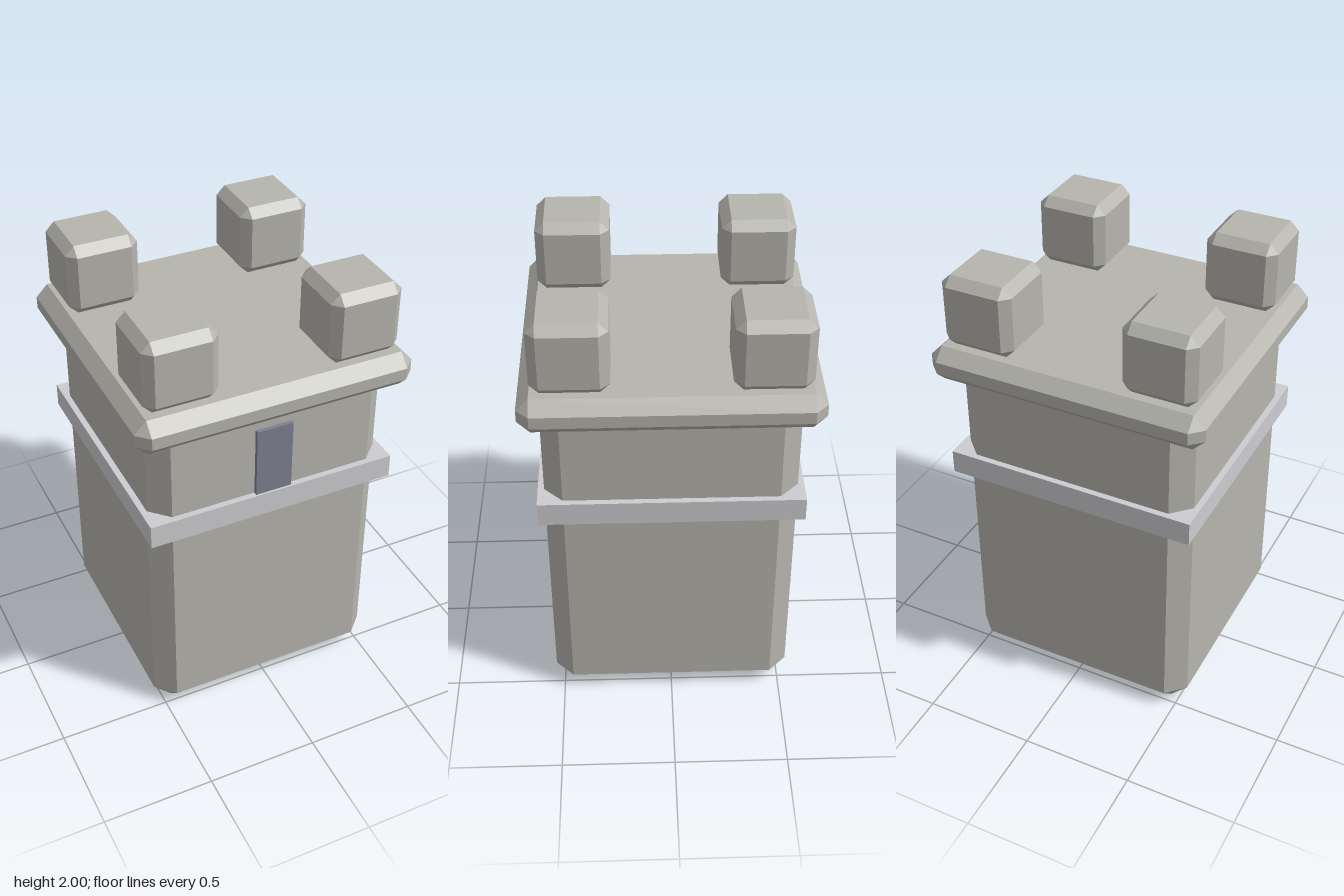
import * as THREE from 'three';
import { ConvexGeometry } from 'three/addons/geometries/ConvexGeometry.js';

// Box with flat chamfers on every edge and a triangle at each corner
function chamferBox(w, h, d, c) {
  const points = [];
  for (const sx of [-1, 1]) for (const sy of [-1, 1]) for (const sz of [-1, 1]) {
    const x = w / 2, y = h / 2, z = d / 2;
    points.push(
      new THREE.Vector3(sx * x, sy * (y - c), sz * (z - c)),
      new THREE.Vector3(sx * (x - c), sy * y, sz * (z - c)),
      new THREE.Vector3(sx * (x - c), sy * (y - c), sz * z)
    );
  }
  return new ConvexGeometry(points);
}

export function createModel() {
  const stone = new THREE.MeshStandardMaterial({ color: 0xb5b4ad });
  stone.name = 'stone';
  const paleStone = new THREE.MeshStandardMaterial({ color: 0xcdccd0 });
  paleStone.name = 'paleStone';
  const slate = new THREE.MeshStandardMaterial({ color: 0x7c8090 });
  slate.name = 'slate';

  const tower = new THREE.Group();
  tower.name = 'tower';
  const add = (name, geometry, material, x, y, z) => {
    const mesh = new THREE.Mesh(geometry, material);
    mesh.name = name;
    mesh.position.set(x, y, z);
    tower.add(mesh);
  };

  // Main shaft, its top tucked into the cap
  add('towerBody', chamferBox(1.076, 1.6, 1.076, 0.08), stone, 0, 0.8, 0);

  // Square-edged band around the shaft
  add('band', new THREE.BoxGeometry(1.13, 0.108, 1.13), paleStone, 0, 1.084, 0);

  // Overhanging cap
  add('cap', chamferBox(1.24, 0.16, 1.24, 0.053), stone, 0, 1.6, 0);

  // Battlement blocks at the four corners
  const block = chamferBox(0.322, 0.32, 0.322, 0.04);
  for (const [side, sx] of [['Left', 1], ['Right', -1]]) {
    for (const [end, sz] of [['front', 1], ['back', -1]]) {
      add(`${end}${side}Battlement`, block, stone, sx * 0.404, 1.84, sz * 0.404);
    }
  }

  // Narrow window on the front, just proud of the wall
  add('window', new THREE.BoxGeometry(0.164, 0.325, 0.03), slate, 0, 1.3, 0.541);

  return tower;
}
